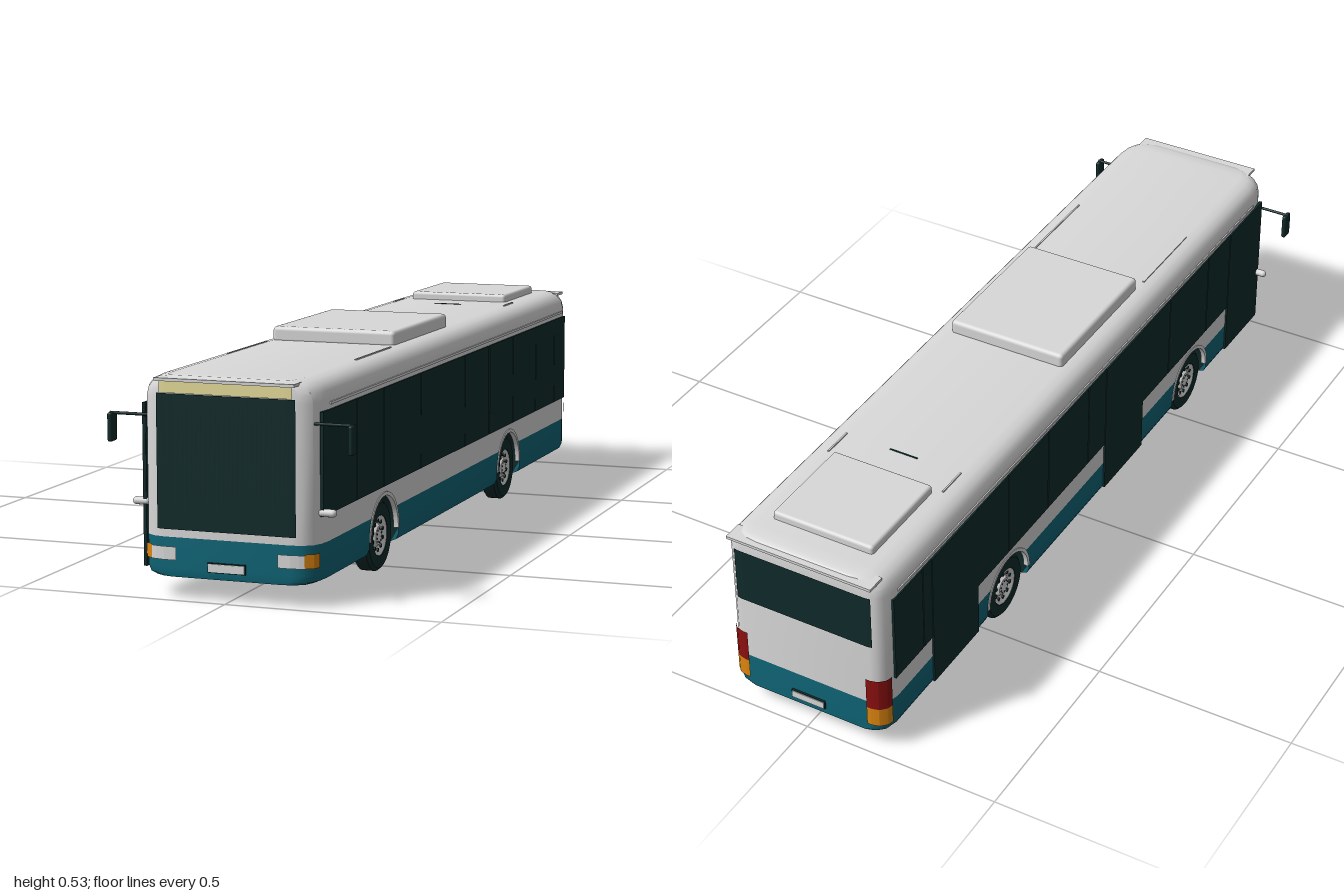
import * as THREE from 'three';
import { toCreasedNormals } from 'three/addons/utils/BufferGeometryUtils.js';
import { RoundedBoxGeometry } from 'three/addons/geometries/RoundedBoxGeometry.js';

const mat = (name, color) => Object.assign(new THREE.MeshStandardMaterial({ color }), { name });

// Plan outline at each end: [z, half width, roof drop]
const FRONT = [[0.985, 0.15, 0.008], [0.98, 0.175, 0.003], [0.966, 0.196, 0], [0.942, 0.206, 0], [0.91, 0.21, 0]];
const REAR = [[-0.985, 0.17, 0.006], [-0.98, 0.188, 0.002], [-0.966, 0.202, 0], [-0.935, 0.21, 0]];
// Half cross-section: [y, inset from the side]
const ROWS = [[0.05, 0.02], [0.056, 0.006], [0.07, 0], [0.139, 0], [0.2, 0], [0.45, 0],
  [0.47, 0.005], [0.485, 0.017], [0.493, 0.033], [0.497, 0.055]];
const AXLES = [0.55, -0.425], AXLE_Y = 0.085, ARCH_R = 0.1;

function geometryFrom(positions, crease = 0.6) {
  const g = new THREE.BufferGeometry();
  g.setAttribute('position', new THREE.Float32BufferAttribute(positions, 3));
  return toCreasedNormals(g, crease);
}

function pushQuad(out, a, b, c, d) {
  for (const t of [[a, b, c], [a, c, d]]) {
    const v = t.map(p => new THREE.Vector3(...p));
    const area = v[1].clone().sub(v[0]).cross(v[2].clone().sub(v[0])).length();
    if (area > 1e-9) t.forEach(p => out.push(...p));
  }
}

export function createModel() {
  const bus = new THREE.Group();
  bus.name = 'cityBus';
  const white = mat('bodyWhite', 0xd9d9d9), teal = mat('skirtTeal', 0x0f6678), dark = mat('darkGlass', 0x102a2a);
  const yellow = mat('signYellow', 0xf0e6a2), amber = mat('amber', 0xdd860f), red = mat('tailRed', 0x8c1010);

  const add = (name, geo, m, x = 0, y = 0, z = 0, parent = bus) => {
    const mesh = new THREE.Mesh(geo, m);
    mesh.name = name;
    mesh.position.set(x, y, z);
    parent.add(mesh);
    return mesh;
  };
  // Box given by its extents
  const box = (name, m, x0, x1, y0, y1, z0, z1) =>
    add(name, new THREE.BoxGeometry(x1 - x0, y1 - y0, z1 - z0), m, (x0 + x1) / 2, (y0 + y1) / 2, (z0 + z1) / 2);

  // Body: cross-sections lofted from front to rear, lifted over the wheels
  const stations = FRONT.map(([z, w, drop]) => ({ z, w, drop, bottom: 0 }));
  for (const axle of AXLES) {
    stations.push({ z: axle + ARCH_R, w: 0.21, drop: 0, bottom: 0 });
    for (let i = 0; i <= 20; i++) {
      const a = Math.PI * i / 20;
      stations.push({ z: axle + ARCH_R * Math.cos(a), w: 0.21, drop: 0, bottom: AXLE_Y + ARCH_R * Math.sin(a) });
    }
    stations.push({ z: axle - ARCH_R, w: 0.21, drop: 0, bottom: 0 });
  }
  [...REAR].reverse().forEach(([z, w, drop]) => stations.push({ z, w, drop, bottom: 0 }));
  const n = ROWS.length;
  const rings = stations.map(s => {
    const half = ROWS.map(([y, inset]) => {
      const top = y > 0.46 ? s.drop : 0;
      return [s.w - (y < s.bottom ? 0 : inset), Math.max(y, s.bottom) - top, s.z];
    });
    return [...half, ...half.map(([x, y, z]) => [-x, y, z]).reverse()];
  });
  const skin = { white: [], teal: [], dark: [] };
  const rowColour = j => (j < 3 ? skin.teal : skin.white);
  for (let k = 0; k < rings.length - 1; k++) {
    const a = rings[k], b = rings[k + 1];
    for (let j = 0; j < 2 * n; j++) {
      const q = (j + 1) % (2 * n);
      let out = rowColour(Math.min(j, 2 * n - 2 - j));
      if (j === n - 1) out = skin.white;
      if (j === 2 * n - 1) out = stations[k].bottom + stations[k + 1].bottom > 0 ? skin.dark : skin.teal;
      pushQuad(out, a[j], b[j], b[q], a[q]);
    }
  }
  const first = rings[0], last = rings[rings.length - 1];
  for (let j = 0; j < n - 1; j++) {
    const l = 2 * n - 1 - j;
    pushQuad(rowColour(j), first[j], first[j + 1], first[l - 1], first[l]);
    pushQuad(rowColour(j), last[l], last[l - 1], last[j + 1], last[j]);
  }
  add('bodyShell', geometryFrom(skin.white), white);
  add('lowerSkirt', geometryFrom(skin.teal), teal);
  add('wheelWells', geometryFrom(skin.dark), dark);

  // Thin panel that follows the curved front or rear end
  const endZ = (x, list) => {
    const ax = Math.abs(x);
    if (ax <= list[0][1]) return list[0][0];
    for (let i = 1; i < list.length; i++) {
      if (ax <= list[i][1]) {
        const [z0, w0] = list[i - 1], [z1, w1] = list[i];
        return z0 + (z1 - z0) * (ax - w0) / (w1 - w0);
      }
    }
    return list[list.length - 1][0];
  };
  const wrap = (name, m, list, x0, x1, y0, y1, lift = 0.004) => {
    const out = [], s = Math.sign(list[0][0]), steps = 30;
    const at = (i, y) => {
      const x = x0 + (x1 - x0) * i / steps;
      return [x * 1.012, y, endZ(x, list) + s * lift];
    };
    for (let i = 0; i < steps; i++) {
      const [p, q] = s > 0 ? [i, i + 1] : [i + 1, i];
      pushQuad(out, at(p, y0), at(q, y0), at(q, y1), at(p, y1));
    }
    return add(name, geometryFrom(out, 1), m);
  };
  wrap('windshield', dark, FRONT, -0.163, 0.161, 0.157, 0.459);
  wrap('destinationSign', yellow, FRONT, -0.156, 0.154, 0.46, 0.486);
  wrap('rearWindow', dark, REAR, -0.178, 0.178, 0.31, 0.452);
  for (const s of [-1, 1]) {
    const span = (a, b) => (s > 0 ? [a, b] : [-b, -a]);
    wrap('headlight', white, FRONT, ...span(0.119, 0.179), 0.088, 0.118);
    wrap('frontIndicator', amber, FRONT, ...span(0.179, 0.203), 0.088, 0.12);
    wrap('tailLight', red, REAR, ...span(0.158, 0.206), 0.125, 0.21);
    wrap('rearIndicator', amber, REAR, ...span(0.158, 0.206), 0.075, 0.125);
  }

  // Number plates
  for (const s of [-1, 1]) {
    add('plateFrame', new THREE.BoxGeometry(0.09, 0.022, 0.006), dark, 0, 0.077, s * 0.987);
    add('numberPlate', new THREE.BoxGeometry(0.086, 0.018, 0.006), white, 0, 0.077, s * 0.989);
  }

  // Side glazing, split by narrow pillars
  const sideRow = (side, cuts, gap) => {
    for (let i = 0; i < cuts.length - 1; i++) {
      const xs = side > 0 ? [0.206, 0.2135] : [-0.2135, -0.206];
      box('sideWindow', dark, ...xs, 0.2, 0.43, cuts[i + 1] + gap, cuts[i] - gap);
    }
  };
  sideRow(1, [0.952, 0.74, 0.56, 0.3, -0.04, -0.24], 0.0015);
  sideRow(1, [-0.245, -0.45, -0.66, -0.84, -0.945], 0.0015);
  sideRow(-1, [0.952, 0.76, 0.63, 0.41, 0.265, 0.06, -0.03, -0.235, -0.43, -0.576, -0.78, -0.82, -0.945], 0.0015);

  // Doors on the kerb side
  for (const [z0, z1] of [[0.76, 0.952], [0.06, 0.265], [-0.78, -0.576]]) {
    box('door', dark, -0.2145, -0.207, 0.062, 0.43, z0, z1);
  }

  // Gutters and roof fittings
  for (const s of [-1, 1]) {
    box('gutter', white, s * 0.21 - 0.003, s * 0.21 + 0.003, 0.44, 0.446, -0.92, 0.9);
    box('roofRail', white, s * 0.158 - 0.002, s * 0.158 + 0.002, 0.49, 0.499, 0.36, 0.6);
    box('roofRail', white, s * 0.155 - 0.002, s * 0.155 + 0.002, 0.49, 0.5, -0.63, -0.55);
  }
  box('roofSlot', dark, -0.04, 0.035, 0.495, 0.4985, -0.553, -0.549);
  box('frontRoofLip', white, -0.165, 0.165, 0.487, 0.494, 0.95, 1);
  box('rearRoofLip', white, -0.19, 0.19, 0.485, 0.492, -1, -0.95);
  add('roofAirUnit', new RoundedBoxGeometry(0.312, 0.04, 0.395, 3, 0.01), white, -0.001, 0.51, 0.128);
  add('rearRoofUnit', new RoundedBoxGeometry(0.265, 0.03, 0.26, 3, 0.008), white, -0.002, 0.502, -0.77);

  // Wheels and arch trims
  const lathe = pts => toCreasedNormals(new THREE.LatheGeometry(pts.map(p => new THREE.Vector2(...p)), 36), 0.6);
  const tyre = lathe([[0, -0.022], [0.074, -0.022], [0.083, -0.015], [0.083, 0.015], [0.076, 0.022], [0.048, 0.022], [0.046, 0.016]]);
  const rim = lathe([[0.047, 0.021], [0.043, 0.019], [0.028, 0.011], [0.022, 0.019], [0, 0.02]]);
  const slot = new THREE.CylinderGeometry(0.0048, 0.0048, 0.004, 10);
  const bolt = new THREE.CylinderGeometry(0.002, 0.002, 0.002, 6);
  const arc = new THREE.Shape();
  arc.absarc(0, 0, 0.101, 0, Math.PI, false);
  arc.absarc(0, 0, 0.092, Math.PI, 0, true);
  const trim = new THREE.ExtrudeGeometry(arc, { depth: 0.012, bevelEnabled: false, curveSegments: 24 });
  trim.translate(0, 0, -0.006).rotateY(Math.PI / 2);
  for (const z of AXLES) {
    for (const s of [-1, 1]) {
      const wheel = new THREE.Group();
      wheel.name = 'wheel';
      wheel.position.set(s * 0.178, 0.083, z);
      wheel.rotation.z = -s * Math.PI / 2;
      bus.add(wheel);
      add('tyre', tyre, dark, 0, 0, 0, wheel);
      add('rim', rim, white, 0, 0, 0, wheel);
      for (let i = 0; i < 10; i++) {
        const a = i * Math.PI / 5, c = Math.cos(a), d = Math.sin(a);
        add('rimSlot', slot, dark, 0.035 * c, 0.0155, 0.035 * d, wheel);
        add('wheelBolt', bolt, dark, 0.016 * c, 0.02, 0.016 * d, wheel);
      }
      add('archTrim', trim, white, s * 0.206, AXLE_Y, z);
    }
    const axle = add('axle', new THREE.CylinderGeometry(0.014, 0.014, 0.32, 12), dark, 0, 0.083, z);
    axle.rotation.z = Math.PI / 2;
  }

  // Mirrors, side lamps and towing blocks
  for (const s of [-1, 1]) {
    const arm = add('mirrorArm', new THREE.CylinderGeometry(0.0035, 0.0035, 0.1, 8), dark, s * 0.239, 0.405, 0.96);
    arm.rotation.z = Math.PI / 2;
    add('mirror', new RoundedBoxGeometry(0.012, 0.066, 0.032, 2, 0.005), dark, s * 0.284, 0.374, 0.96);
    const lamp = add('sideMirror', new THREE.CapsuleGeometry(0.009, 0.024, 6, 12), white, s * 0.221, 0.208, 0.945);
    lamp.rotation.z = Math.PI / 2;
    box('towBlock', dark, s * 0.063 - 0.0165, s * 0.063 + 0.0165, 0.031, 0.055, 0.815, 0.87);
  }
  return bus;
}
